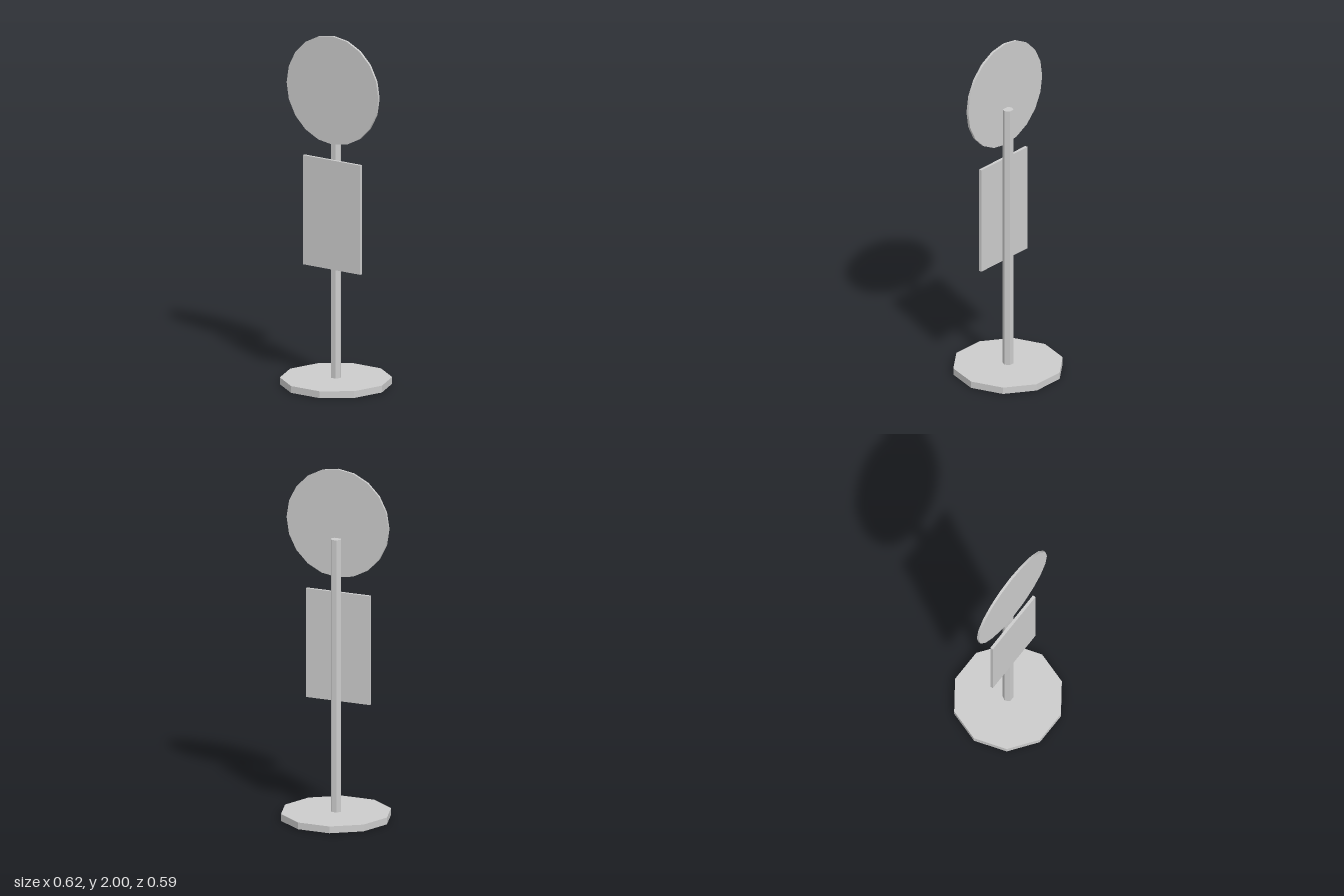
import * as THREE from 'three';

const flat = new THREE.MeshStandardMaterial({ color: 0xcccccc, flatShading: true });
const smooth = new THREE.MeshStandardMaterial({ color: 0xcccccc });

function addPart(group, name, geometry, material, x, y, z) {
  const mesh = new THREE.Mesh(geometry, material);
  mesh.name = name;
  mesh.position.set(x, y, z);
  group.add(mesh);
}

// Upright prism from y = bottom to y = top, with a corner on the x axis
function prism(radius, bottom, top, sides) {
  return new THREE.CylinderGeometry(radius, radius, top - bottom, sides)
    .rotateY(Math.PI / 2)
    .translate(0, (bottom + top) / 2, 0);
}

export function createModel() {
  const sign = new THREE.Group();
  sign.name = 'signPost';

  // Ten-sided foot; the hexagonal pole pokes slightly through its underside
  addPart(sign, 'base', prism(0.31, 0.003, 0.042, 10), flat, 0, 0, 0);
  addPart(sign, 'pole', prism(0.031, 0, 1.605, 6), flat, 0, 0, 0);

  // Round sign, turned to face the front
  const disc = new THREE.CylinderGeometry(0.31, 0.31, 0.014, 20).rotateX(Math.PI / 2);
  addPart(sign, 'roundSign', disc, smooth, 0, 1.69, 0.027);

  // Rectangular notice board on the front of the pole
  addPart(sign, 'noticeBoard', new THREE.BoxGeometry(0.388, 0.625, 0.017), flat, 0, 0.98, 0.034);

  return sign;
}
